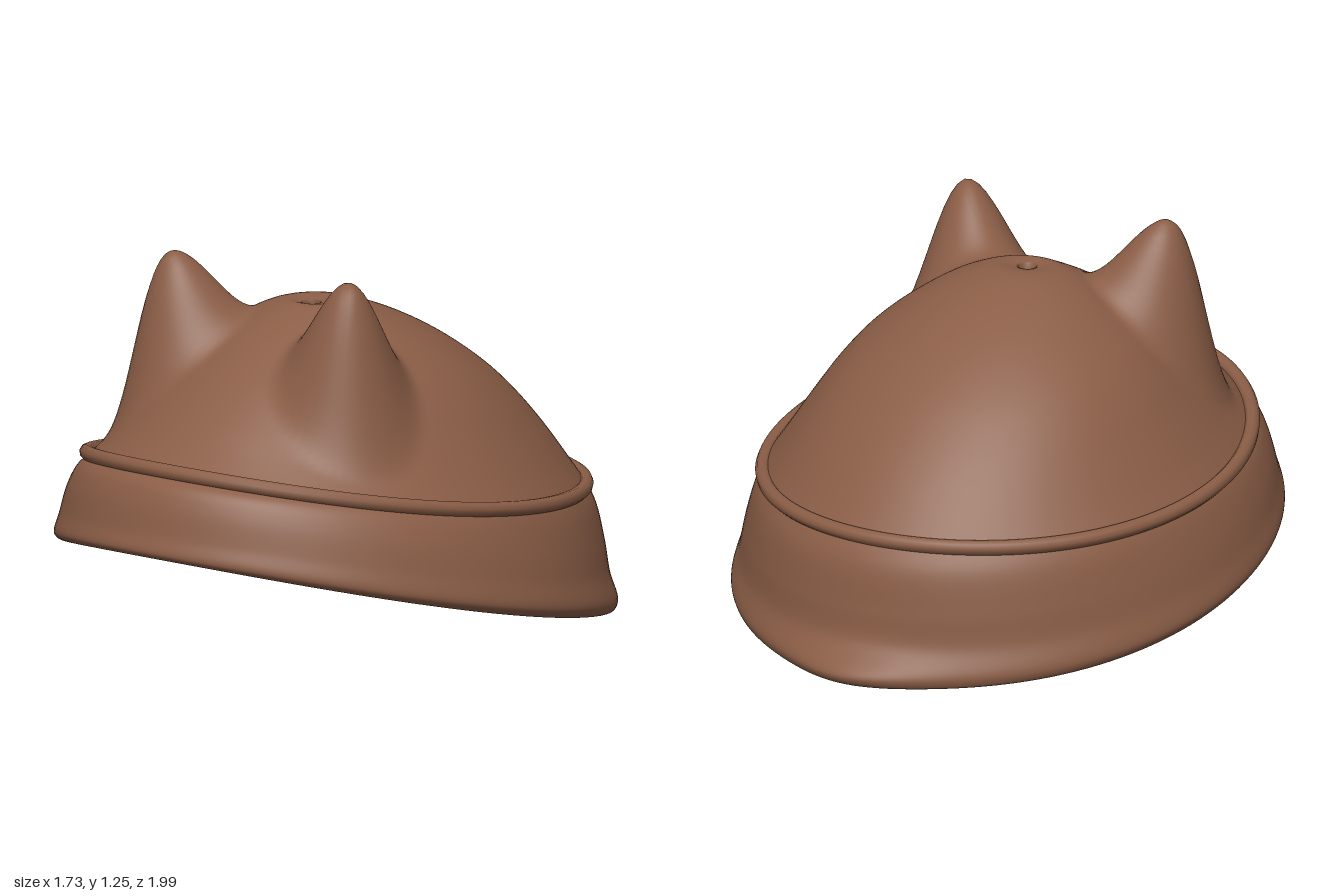
import * as THREE from 'three';

// Each ring: front z, back z, half width, front y, side y, back y, back flare
const OUTER = [
  [0.995, -0.935, 0.865, 0.41, 0.19, 0.035, 0.06],
  [0.98, -0.905, 0.845, 0.47, 0.28, 0.13, 0.01],
  [0.955, -0.895, 0.82, 0.57, 0.37, 0.24, 0],
  [0.925, -0.87, 0.785, 0.625, 0.46, 0.38, 0],
  [0.87, -0.825, 0.755, 0.655, 0.51, 0.46, 0],
  [0.80, -0.79, 0.70, 0.71, 0.585, 0.51, 0],
  [0.70, -0.70, 0.62, 0.80, 0.70, 0.63, 0],
  [0.58, -0.60, 0.54, 0.90, 0.81, 0.74, 0],
  [0.48, -0.48, 0.46, 0.97, 0.90, 0.85, 0],
  [0.38, -0.30, 0.35, 1.035, 0.99, 0.975, 0],
  [0.28, -0.10, 0.22, 1.085, 1.07, 1.07, 0],
  [0.22, 0.05, 0.10, 1.108, 1.108, 1.112, 0],
  [0.18, 0.12, 0.03, 1.10, 1.10, 1.10, 0],
];
const LIP = [0.965, -0.925, 0.84, 0.39, 0.16, 0.005, 0.05];
const PIPING = [0.882, -0.825, 0.765, 0.662, 0.508, 0.462, 0];

function ringPoint([zf, zb, w, yf, ys, yb, flare], angle) {
  const s = Math.sin(angle), c = Math.cos(angle);
  const x = w * s;
  let z = (zf + zb) / 2 + (c * (zf - zb)) / 2;
  if (c < 0) z -= flare * Math.exp(-((x / 0.25) ** 2));
  const y = ys + ((yf - yb) / 2) * c + ((yf + yb) / 2 - ys) * c * c;
  return new THREE.Vector3(x, y, z);
}

// Pull the cloth up and slightly outward into two blunt ears
function raiseEars(p) {
  const side = Math.sign(p.x);
  const d = Math.hypot(Math.abs(p.x) - 0.36, p.z - 0.38);
  const t = Math.max(0, 1 - d / 0.25);
  const f = t * t * (3 - 2 * t);
  p.x += side * 0.04 * f;
  p.y += 0.34 * f;
  p.z += 0.03 * f;
  return p;
}

// One skin: down the lining, round the lip and up the outside
function shellGeometry(columns, rows) {
  const lining = OUTER.map(([zf, zb, w, yf, ys, yb, fl]) =>
    [zf * 0.95, zb * 0.95, w * 0.95, yf - 0.03, ys - 0.03, yb - 0.03, fl]);
  lining[0] = [0.945, -0.89, 0.82, 0.41, 0.185, 0.03, 0.04];
  const rings = [...lining.reverse(), LIP, ...OUTER];
  const positions = [], index = [];
  for (let i = 0; i < columns; i++) {
    const angle = (i / columns) * Math.PI * 2;
    const curve = new THREE.CatmullRomCurve3(rings.map((r) => ringPoint(r, angle)));
    for (let j = 0; j <= rows; j++) {
      const p = raiseEars(curve.getPoint(j / rows));
      positions.push(p.x, p.y, p.z);
    }
  }
  const n = rows + 1;
  for (let i = 0; i < columns; i++) {
    const next = (i + 1) % columns;
    for (let j = 0; j < rows; j++) {
      const a = i * n + j, b = next * n + j;
      index.push(a, b, b + 1, a, b + 1, a + 1);
    }
  }
  // Close the skin through the small hole in the crown
  for (let i = 0; i < columns; i++) {
    const a = i * n, b = ((i + 1) % columns) * n;
    index.push(a + rows, b + rows, b, a + rows, b, a);
  }
  const geometry = new THREE.BufferGeometry();
  geometry.setAttribute('position', new THREE.Float32BufferAttribute(positions, 3));
  geometry.setIndex(index);
  geometry.computeVertexNormals();
  return geometry;
}

export function createModel() {
  const group = new THREE.Group();
  group.name = 'earedHat';
  const brown = new THREE.MeshStandardMaterial({ color: 0x8a5d46 });
  brown.name = 'brownFelt';

  // Crown, ears, band and lining
  const shell = new THREE.Mesh(shellGeometry(144, 200), brown);
  shell.name = 'hatShell';
  group.add(shell);

  // Raised piping between crown and band
  const points = [];
  for (let i = 0; i < 48; i++) points.push(ringPoint(PIPING, (i / 48) * Math.PI * 2));
  const path = new THREE.CatmullRomCurve3(points, true);
  const piping = new THREE.Mesh(new THREE.TubeGeometry(path, 144, 0.025, 10, true), brown);
  piping.name = 'piping';
  group.add(piping);

  return group;
}
